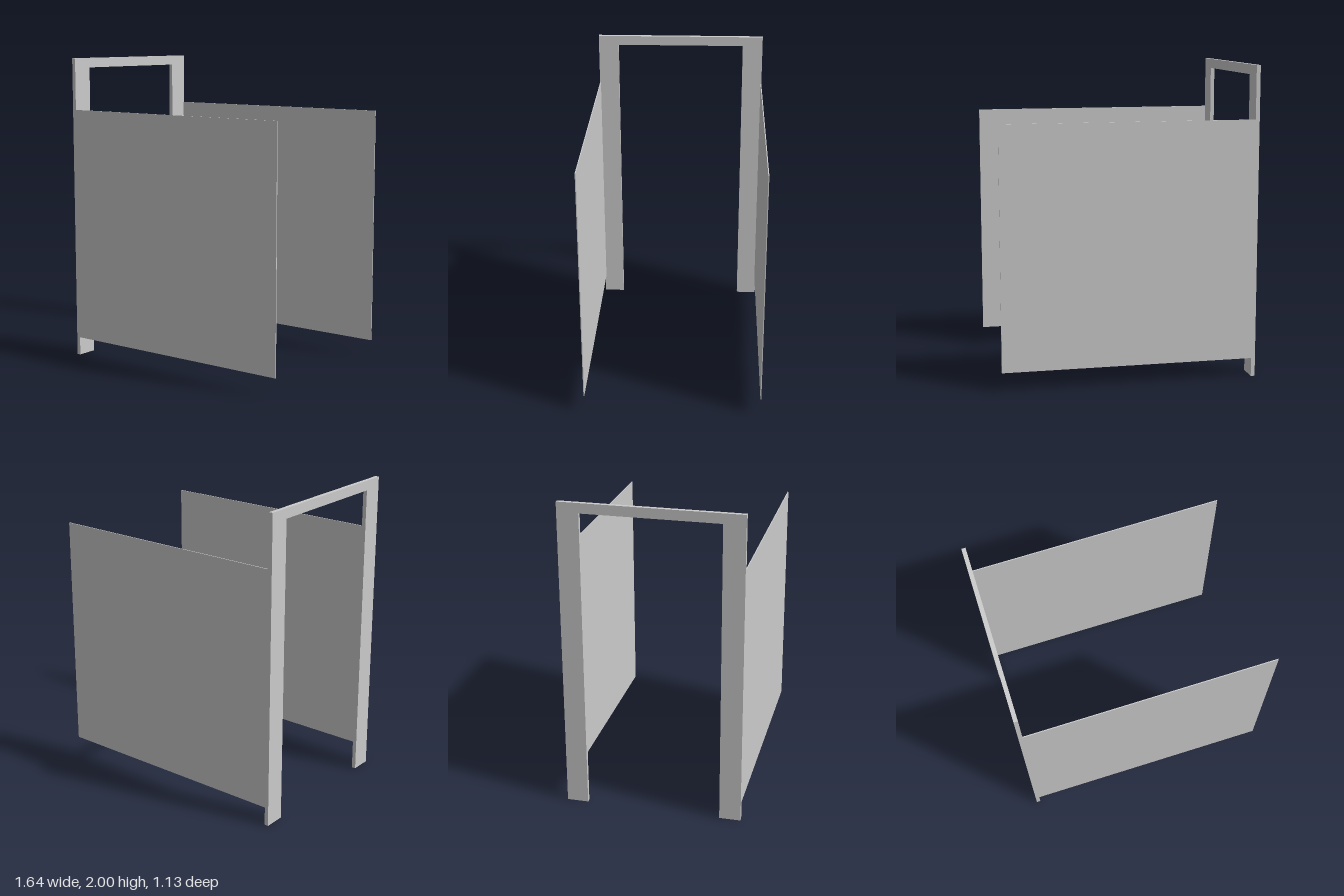
import * as THREE from 'three';

const material = new THREE.MeshStandardMaterial({ color: 0xcccccc, flatShading: true });

// Portal outline in (z, y): two legs joined by a top rail
function portalGeometry(halfWidth, innerHalf, height, innerHeight, depth) {
  const shape = new THREE.Shape([
    [-halfWidth, 0], [-innerHalf, 0], [-innerHalf, innerHeight], [innerHalf, innerHeight],
    [innerHalf, 0], [halfWidth, 0], [halfWidth, height], [-halfWidth, height],
  ].map(([z, y]) => new THREE.Vector2(z, y)));
  const geometry = new THREE.ExtrudeGeometry(shape, { depth, bevelEnabled: false });
  return geometry.rotateY(Math.PI / 2); // extrusion now runs along +x
}

export function createModel() {
  const group = new THREE.Group();
  group.name = 'doorFrameWithSidePanels';

  const left = -0.82, right = 0.82, frameDepth = 0.026;
  const halfWidth = 0.566, panelThickness = 0.006;

  // Door frame
  const frame = new THREE.Mesh(portalGeometry(halfWidth, 0.43, 2, 1.937, frameDepth), material);
  frame.name = 'doorFrame';
  frame.position.x = left;
  group.add(frame);

  // Thin side panels, flush with the outer faces of the frame
  const bottom = 0.12, top = 1.662, start = left + frameDepth;
  for (const side of [1, -1]) {
    const panel = new THREE.Mesh(
      new THREE.BoxGeometry(right - start, top - bottom, panelThickness), material);
    panel.name = side > 0 ? 'frontPanel' : 'backPanel';
    panel.position.set((start + right) / 2, (bottom + top) / 2, side * (halfWidth - panelThickness / 2));
    group.add(panel);
  }
  return group;
}
